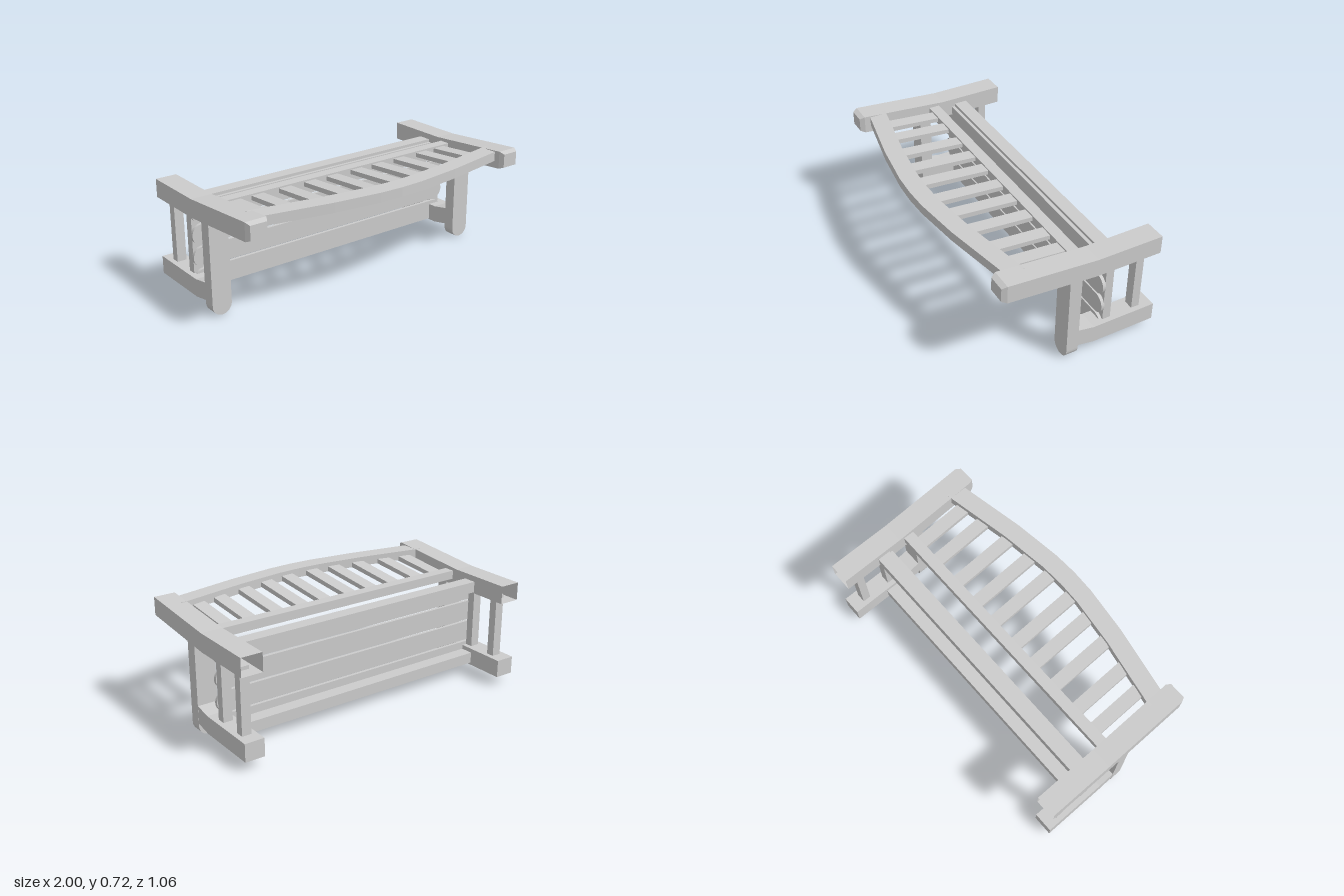
import * as THREE from 'three';

const grey = new THREE.MeshStandardMaterial({ color: 0xcccccc, flatShading: true });
const greyOpen = new THREE.MeshStandardMaterial({ color: 0xcccccc, flatShading: true, side: THREE.DoubleSide });

// Skin a row of four-cornered cross-sections, with optional end caps
function loft(sections, capStart = true, capEnd = true) {
  const pos = [];
  const quad = (a, b, c, d) => pos.push(...a, ...b, ...c, ...a, ...c, ...d);
  for (let i = 0; i < sections.length - 1; i++) {
    const s = sections[i], t = sections[i + 1];
    for (let k = 0; k < 4; k++) {
      const n = (k + 1) % 4;
      quad(s[k], s[n], t[n], t[k]);
    }
  }
  const first = sections[0], last = sections[sections.length - 1];
  if (capStart) quad(first[3], first[2], first[1], first[0]);
  if (capEnd) quad(...last);
  const g = new THREE.BufferGeometry();
  g.setAttribute('position', new THREE.Float32BufferAttribute(pos, 3));
  g.computeVertexNormals();
  return g;
}

// Rectangle in the xy plane, for members running along z
const ring = (x, halfWidth, z, bottom, top) => [
  [x - halfWidth, bottom, z], [x + halfWidth, bottom, z],
  [x + halfWidth, top, z], [x - halfWidth, top, z],
];

export function createModel() {
  const model = new THREE.Group();
  const add = (name, geometry, material = grey) => {
    const m = new THREE.Mesh(geometry, material);
    m.name = name;
    model.add(m);
    return m;
  };
  const box = (name, x0, x1, y0, y1, z0, z1) => add(name, new THREE.BoxGeometry(x1 - x0, y1 - y0, z1 - z0)
    .translate((x0 + x1) / 2, (y0 + y1) / 2, (z0 + z1) / 2));

  for (const side of [-1, 1]) {
    const label = side > 0 ? 'left' : 'right';
    const x = side * 0.933;

    // Bent upper rail: bevelled front end, open back end
    add(label + 'UpperRail', loft([
      ring(x, 0.067, -0.532, 0.558, 0.672),
      ring(x, 0.067, -0.115, 0.558, 0.672),
      ring(x, 0.067, 0.445, 0.605, 0.717),
      ring(x, 0.053, 0.475, 0.617, 0.703),
    ], false, true), greyOpen);

    // Bent lower rail
    add(label + 'LowerRail', loft([
      ring(x, 0.062, -0.532, 0.06, 0.172),
      ring(x, 0.062, -0.125, 0.06, 0.172),
      ring(x, 0.062, -0.015, 0.081, 0.193),
    ]));

    // Leg with a rounded foot
    const r = 0.063;
    const leg = new THREE.Shape();
    leg.moveTo(r, 0.59);
    leg.lineTo(-r, 0.59);
    leg.lineTo(-r, r);
    leg.absarc(0, r, r, Math.PI, Math.PI * 2, false);
    leg.closePath();
    add(label + 'Leg', new THREE.ExtrudeGeometry(leg, { depth: 0.076, bevelEnabled: false, curveSegments: 8 })
      .translate(x, 0, -0.02));

    // Two upright posts between the rails
    box(label + 'InnerPost', x - 0.03, x + 0.03, 0.15, 0.58, -0.252, -0.2);
    box(label + 'OuterPost', x - 0.03, x + 0.03, 0.15, 0.58, -0.452, -0.4);
  }

  // Four broad boards with rounded ends
  const boardHalf = 0.97, h = 0.064;
  const board = new THREE.Shape();
  board.absarc(boardHalf - h, 0, h, -Math.PI / 2, Math.PI / 2, false);
  board.absarc(-boardHalf + h, 0, h, Math.PI / 2, Math.PI * 1.5, false);
  board.closePath();
  for (let i = 0; i < 4; i++) {
    add('board' + (i + 1), new THREE.ExtrudeGeometry(board, { depth: 0.021, bevelEnabled: false, curveSegments: 10 })
      .translate(0, 0.13 + i * 0.141, -0.202));
  }

  // Cross beams
  box('lowerBackBeam', -0.92, 0.92, 0.075, 0.145, -0.286, -0.202);
  box('upperBackBeam', -0.92, 0.92, 0.565, 0.635, -0.286, -0.202);
  box('slatBeam', -0.9, 0.9, 0.6, 0.655, -0.083, -0.014);

  // Bowed front rail
  const bow = [[0, 0.53], [0.15, 0.524], [0.45, 0.486], [0.9, 0.4]];
  const path = [...bow.slice(1).reverse().map(([x, z]) => [-x, z]), ...bow];
  add('bowedRail', loft(path.map(([x, z]) => [
    [x, 0.646, z], [x, 0.646, z - 0.112], [x, 0.706, z - 0.112], [x, 0.706, z],
  ])));

  // Ten gently rising slats, ending just under the bowed rail
  for (const side of [-1, 1]) {
    [0.093, 0.258, 0.435, 0.625, 0.78].forEach((x, i) => {
      const end = 0.43 - x * x * 0.16;
      add('slat' + (side > 0 ? 'Left' : 'Right') + (i + 1), loft([
        ring(side * x, 0.042, -0.02, 0.618, 0.645),
        ring(side * x, 0.042, end, 0.618 + (end + 0.02) * 0.075, 0.645 + (end + 0.02) * 0.085),
      ]));
    });
  }
  return model;
}
